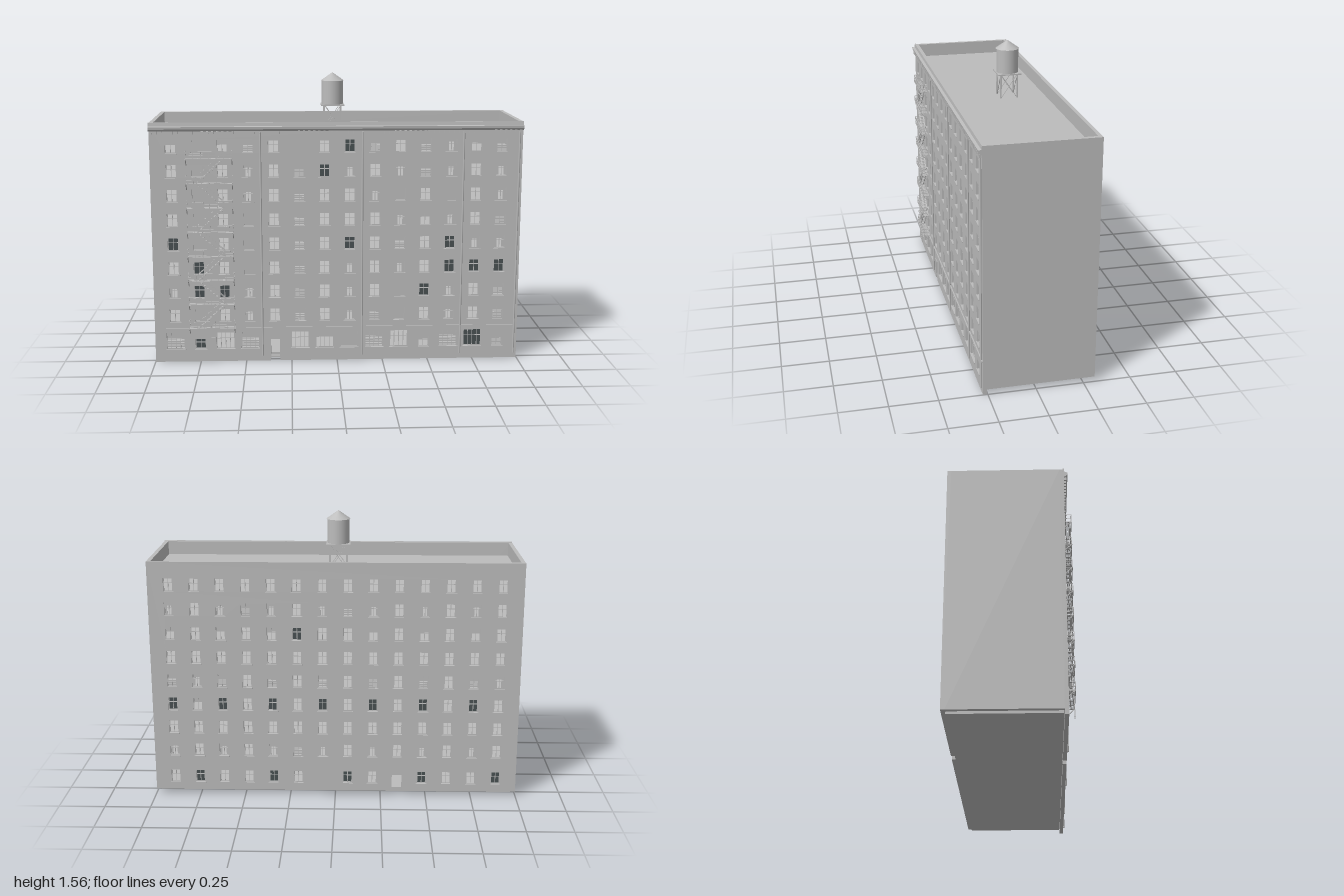
import * as THREE from 'three';
import { mergeGeometries } from 'three/addons/utils/BufferGeometryUtils.js';

const V = (x, y, z) => new THREE.Vector3(x, y, z);

// box from centre and size
function box(list, x, y, z, w, h, d) {
  list.push(new THREE.BoxGeometry(w, h, d).translate(x, y, z));
}
// thin square bar between two points
function bar(list, a, b, t = 0.004) {
  const dir = b.clone().sub(a), len = dir.length();
  const g = new THREE.BoxGeometry(t, len, t);
  g.applyQuaternion(new THREE.Quaternion().setFromUnitVectors(V(0, 1, 0), dir.normalize()));
  const m = a.clone().add(b).multiplyScalar(0.5);
  list.push(g.translate(m.x, m.y, m.z));
}

// window types per upper floor, top floor first:
// o sash, s dark glass, b closed blind, h upper blind, l lower blind, c curtain
const FLOORS = [
  'hbhlobosloLchl'.toLowerCase(),
  'obocolscoclcoc',
  'obocoloocboboc',
  'obobolooochcol',
  'sbobolosoloscc',
  'osobolococosss',
  'csscolocobscol',
  'obocoloclbocol',
];
const GROUND = 'lsollohblohlsl';
const WIDE = [1, 0, 1, 1, 0, 1, 1, 1, 1, 1, 0, 1, 1, 0];
const DOOR = 4;
const colX = i => -0.886 + i * 0.1364;
const rowY = r => 1.195 - r * 0.1333;

export function createModel() {
  const root = new THREE.Group();
  const masonry = new THREE.MeshStandardMaterial({ color: 0xbcbcbc });
  masonry.name = 'grey masonry';
  const darkGlass = new THREE.MeshStandardMaterial({ color: 0x485052 });
  darkGlass.name = 'dark glass';
  const add = (name, list, mat = masonry) => {
    const m = new THREE.Mesh(mergeGeometries(list.map(g => (g.index ? g.toNonIndexed() : g))), mat);
    m.name = name;
    root.add(m);
  };

  // list of openings for one facade
  function openings(back) {
    const res = [];
    const other = 'ohcosl';
    FLOORS.forEach((row, r) => [...row].forEach((t, i) => {
      const type = back ? (t === 'o' ? 'o' : other[(r * 5 + i * 3) % 6]) : t;
      res.push({ x: colX(i), y: rowY(r), w: back ? 0.05 : 0.058, h: 0.072, type });
    }));
    [...GROUND].forEach((t, i) => {
      if (i === DOOR) return;
      if (back) {
        if (i !== 7) res.push({ x: colX(i), y: 0.105, w: 0.05, h: 0.07, type: i % 3 ? 'o' : 's' });
      } else if (WIDE[i]) res.push({ x: colX(i), y: 0.118, w: 0.1, h: 0.095, type: t });
      else res.push({ x: colX(i), y: 0.1, w: 0.058, h: 0.06, type: t });
    });
    return res;
  }

  // pierced wall, with a doorway notched into its lower edge
  function wall(holes, y0, z, doorTop) {
    const dx = colX(DOOR), s = new THREE.Shape();
    s.moveTo(-0.998, y0);
    s.lineTo(dx - 0.027, y0);
    s.lineTo(dx - 0.027, doorTop);
    s.lineTo(dx + 0.027, doorTop);
    s.lineTo(dx + 0.027, y0);
    s.lineTo(0.998, y0);
    s.lineTo(0.998, 1.32);
    s.lineTo(-0.998, 1.32);
    s.closePath();
    for (const { x, y, w, h } of holes) {
      const p = new THREE.Path();
      p.moveTo(x - w / 2, y - h / 2);
      p.lineTo(x - w / 2, y + h / 2);
      p.lineTo(x + w / 2, y + h / 2);
      p.lineTo(x + w / 2, y - h / 2);
      p.closePath();
      s.holes.push(p);
    }
    return new THREE.ExtrudeGeometry(s, { depth: 0.02, bevelEnabled: false }).translate(0, 0, z);
  }

  const frames = [], blinds = [], panes = [], sills = [];
  // sash frame, blind, glass and sill; dir is +1 for the front, -1 for the back
  function fitWindow({ x, y, w, h, type }, zFace, dir) {
    const z = zFace - dir * 0.012, t = 0.004, zb = z - dir * 0.005;
    for (const s of [-1, 1]) {
      box(frames, x + s * (w - t) / 2, y, z, t, h, 0.005);
      box(frames, x, y + s * (h - t) / 2, z, w, t, 0.005);
    }
    if (type !== 'b') {
      box(frames, x, y, z, 0.003, h, 0.004);
      box(frames, x, y + h * 0.12, z, w, 0.003, 0.004);
      if (w > 0.08) for (const s of [-1, 1]) box(frames, x + s * w / 4, y, z, 0.003, h, 0.004);
    }
    if (type === 'b') box(blinds, x, y, zb, w, h, 0.003);
    if (type === 'h') box(blinds, x, y + h * 0.3, zb, w, h * 0.4, 0.003);
    if (type === 'l') {
      box(blinds, x, y + h * 0.28, zb, w, h * 0.44, 0.003);
      for (let k = 0; k < 3; k++) box(blinds, x, y - h * (0.08 + 0.14 * k), zb, w, h * 0.09, 0.003);
    }
    if (type === 'c') {
      box(blinds, x, y + h * 0.36, zb, w, h * 0.28, 0.003);
      for (const s of [-1, 1]) box(blinds, x + s * w * 0.36, y, zb, w * 0.26, h, 0.003);
    }
    if (type === 's') box(panes, x, y, zb, w, h, 0.003);
    box(sills, x, y - h / 2 - 0.003, zFace + dir * 0.001, w + 0.01, 0.006, 0.006);
  }

  const front = openings(false), back = openings(true);
  add('frontWall', [wall(front, 0, 0.255, 0.125)]);
  add('backWall', [wall(back, 0.028, -0.31, 0.12)]);
  front.forEach(o => fitWindow(o, 0.275, 1));
  back.forEach(o => fitWindow(o, -0.31, -1));
  add('windowFrames', frames);
  add('windowBlinds', blinds);
  add('darkPanes', panes, darkGlass);
  add('windowSills', sills);

  // side walls, roof, floors and base
  const sides = [], floors = [];
  for (const s of [-1, 1]) box(sides, s * 0.987, 0.674, -0.0175, 0.022, 1.292, 0.545);
  add('sideWalls', sides);
  for (let r = 0; r < 8; r++) box(floors, 0, rowY(r) - 0.05, -0.0175, 1.952, 0.008, 0.544);
  box(floors, 0, 0.034, -0.0175, 1.952, 0.012, 0.544);
  add('floors', floors);
  const roof = [];
  box(roof, 0, 1.24, -0.0175, 1.952, 0.01, 0.544);
  add('roof', roof);
  const base = [];
  box(base, 0, 0.0215, -0.0175, 1.95, 0.013, 0.54);
  add('basePlinth', base);

  // door frame
  const door = [], dx = colX(DOOR);
  for (const s of [-1, 1]) box(door, dx + s * 0.026, 0.07, 0.264, 0.004, 0.11, 0.026);
  box(door, dx, 0.126, 0.264, 0.062, 0.006, 0.028);
  box(door, dx, 0.022, 0.264, 0.05, 0.008, 0.018);
  add('doorFrame', door);

  // moulded cornice with a row of dentils
  const profile = [[0.27, 1.322], [0.276, 1.322], [0.278, 1.302], [0.294, 1.3], [0.292, 1.287], [0.282, 1.276], [0.27, 1.276]];
  const cs = new THREE.Shape(profile.map(p => new THREE.Vector2(p[0], p[1])));
  add('cornice', [new THREE.ExtrudeGeometry(cs, { depth: 2, bevelEnabled: false }).rotateY(-Math.PI / 2).translate(1, 0, 0)]);
  const dentils = [];
  for (let i = 0; i < 74; i++) box(dentils, -0.986 + i * 0.027, 1.269, 0.28, 0.012, 0.016, 0.014);
  add('dentils', dentils);
  const course = [];
  box(course, 0, 0.188, 0.277, 1.996, 0.009, 0.008);
  add('stringCourse', course);

  // drainpipes
  const pipes = [];
  for (const x of [-0.41, 0.136, 0.68, 0.98]) {
    pipes.push(new THREE.CylinderGeometry(0.005, 0.005, 1.24, 8).translate(x, 0.65, 0.28));
  }
  add('drainpipes', pipes);

  // fire escape: landings, railings and zigzag stairs
  const esc = [], xl = -0.805, xr = -0.56, zi = 0.278, zo = 0.313;
  const landing = k => 0.198 + k * 0.1333;
  for (let k = 0; k < 8; k++) {
    const y = landing(k), yr = y + 0.042;
    for (let j = 0; j < 6; j++) box(esc, (xl + xr) / 2, y, zi + j * 0.007, xr - xl, 0.004, 0.004);
    for (const h of [0.021, 0.042]) {
      bar(esc, V(xl, y + h, zo), V(xr, y + h, zo), 0.003);
      for (const x of [xl, xr]) bar(esc, V(x, y + h, zi), V(x, y + h, zo), 0.003);
    }
    for (let j = 0; j <= 6; j++) {
      const x = xl + (xr - xl) * j / 6;
      bar(esc, V(x, y, zo), V(x, yr, zo), 0.003);
    }
    for (const x of [xl, xr]) {
      bar(esc, V(x, y - 0.035, zi - 0.003), V(x, y, zo), 0.004);
      bar(esc, V(x, y, zi), V(x, y, zo), 0.004);
    }
    if (k < 7) {
      const s = k % 2 ? -1 : 1, cx = -0.682, y2 = landing(k + 1);
      const a = V(cx - s * 0.075, y, 0), b = V(cx + s * 0.075, y2, 0);
      if (k % 2 === 0) { a.x = cx + 0.02 - 0.09; b.x = cx + 0.075; }
      for (const z of [0.284, 0.304]) {
        const off = V(0, 0, z), up = V(0, 0.035, z);
        bar(esc, a.clone().add(off), b.clone().add(off), 0.005);
        bar(esc, a.clone().add(up), b.clone().add(up), 0.003);
      }
      for (let j = 1; j < 9; j++) {
        const p = a.clone().lerp(b, j / 9);
        box(esc, p.x, p.y, 0.294, 0.014, 0.003, 0.02);
      }
    }
  }
  // drop ladder
  for (const x of [-0.69, -0.665]) bar(esc, V(x, 0.11, 0.311), V(x, 0.24, 0.311), 0.003);
  for (let j = 0; j < 8; j++) bar(esc, V(-0.69, 0.118 + j * 0.015, 0.311), V(-0.665, 0.118 + j * 0.015, 0.311), 0.002);
  add('fireEscape', esc);

  // rooftop water tank
  const tx = -0.012, tz = -0.084, stand = [];
  const tank = new THREE.CylinderGeometry(0.06, 0.06, 0.135, 24).translate(tx, 1.45, tz);
  const cap = new THREE.ConeGeometry(0.064, 0.045, 24).translate(tx, 1.5375, tz);
  add('waterTank', [tank]);
  add('tankRoof', [cap]);
  box(stand, tx, 1.381, tz, 0.13, 0.007, 0.13);
  const c = [[-1, -1], [1, -1], [1, 1], [-1, 1]].map(p => V(tx + p[0] * 0.046, 0, tz + p[1] * 0.046));
  c.forEach((p, i) => {
    const q = c[(i + 1) % 4], lo = V(0, 1.245, 0), hi = V(0, 1.38, 0);
    bar(stand, p.clone().add(lo), p.clone().add(hi), 0.008);
    bar(stand, p.clone().add(lo), q.clone().add(hi), 0.003);
    bar(stand, q.clone().add(lo), p.clone().add(hi), 0.003);
  });
  add('tankStand', stand);

  return root;
}
